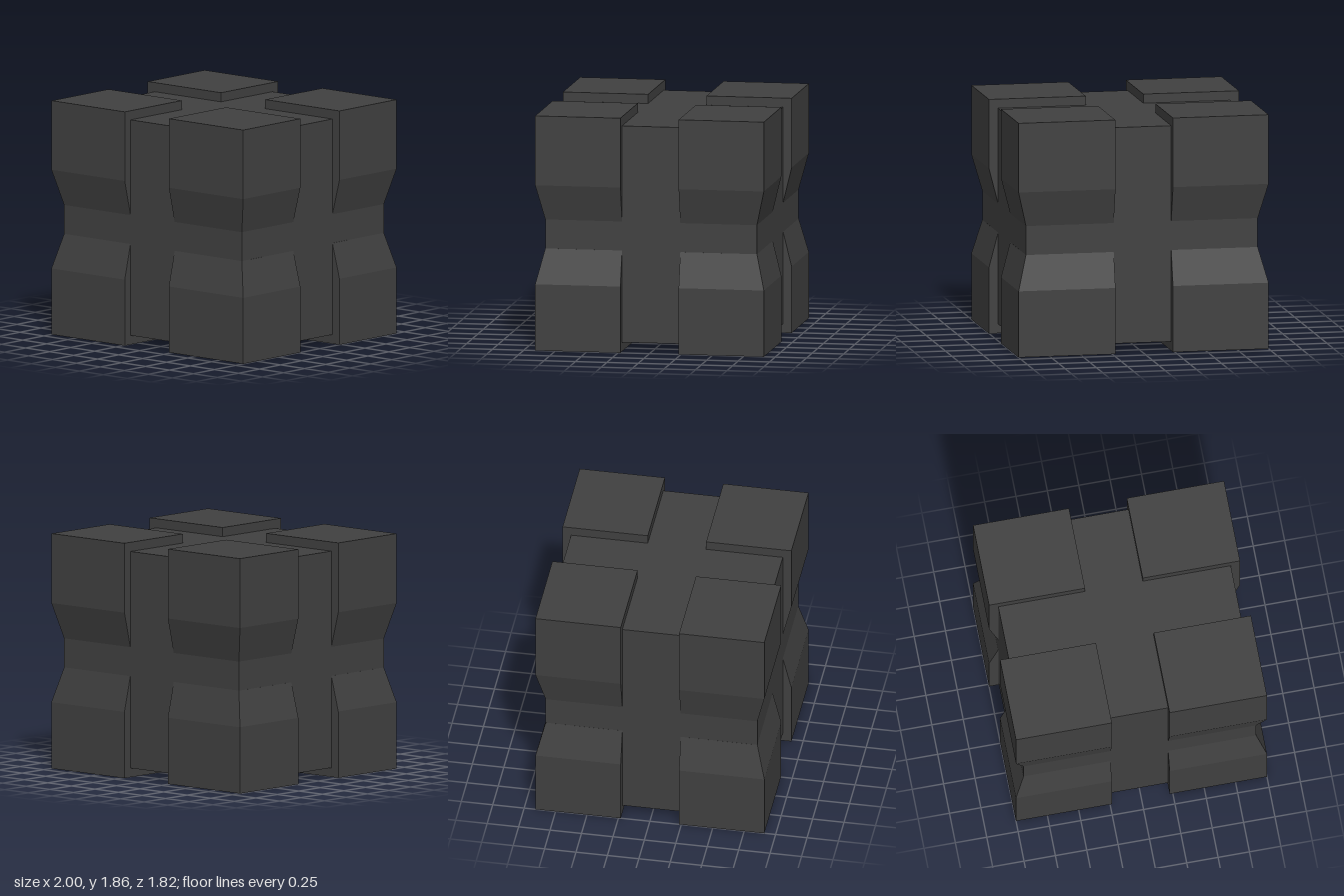
import * as THREE from 'three';

const material = new THREE.MeshStandardMaterial({ color: 0x404040, flatShading: true });

// Corner block: full size at its outer end, its two outer walls sloping in to the core near mid height
function cornerBlock(sx, top, sz) {
  const geometry = new THREE.BoxGeometry(2, 2, 2, 1, 2, 1).toNonIndexed();
  const levels = top ? [1.03, 1.31, 1.86] : [0, 0.525, 0.8]; // bottom, middle, top rows
  const taperedRow = top ? 0 : 2;
  const innerX = sx > 0 ? 0.225 : 0.235;
  const p = geometry.attributes.position;
  for (let i = 0; i < p.count; i++) {
    const row = Math.round(p.getY(i)) + 1;
    const tapered = row === taperedRow;
    const x = p.getX(i) * sx > 0 ? (tapered ? 0.927 : 1) : innerX;
    const z = p.getZ(i) * sz > 0 ? (tapered ? 0.842 : 0.91) : 0.232;
    p.setXYZ(i, x * sx, levels[row], z * sz);
  }
  geometry.computeVertexNormals();
  return new THREE.Mesh(geometry, material);
}

export function createModel() {
  const group = new THREE.Group();
  group.name = 'blockCube';

  // Recessed core visible in the grooves between the corner blocks
  const core = new THREE.Mesh(new THREE.BoxGeometry(1.853, 1.715, 1.684), material);
  core.position.y = 0.93;
  core.name = 'core';
  group.add(core);

  // Eight raised corner blocks
  for (const top of [true, false])
    for (const sx of [1, -1])
      for (const sz of [1, -1]) {
        const block = cornerBlock(sx, top, sz);
        block.name = `${top ? 'upper' : 'lower'}${sz > 0 ? 'Front' : 'Back'}${sx > 0 ? 'Left' : 'Right'}Block`;
        group.add(block);
      }

  return group;
}
